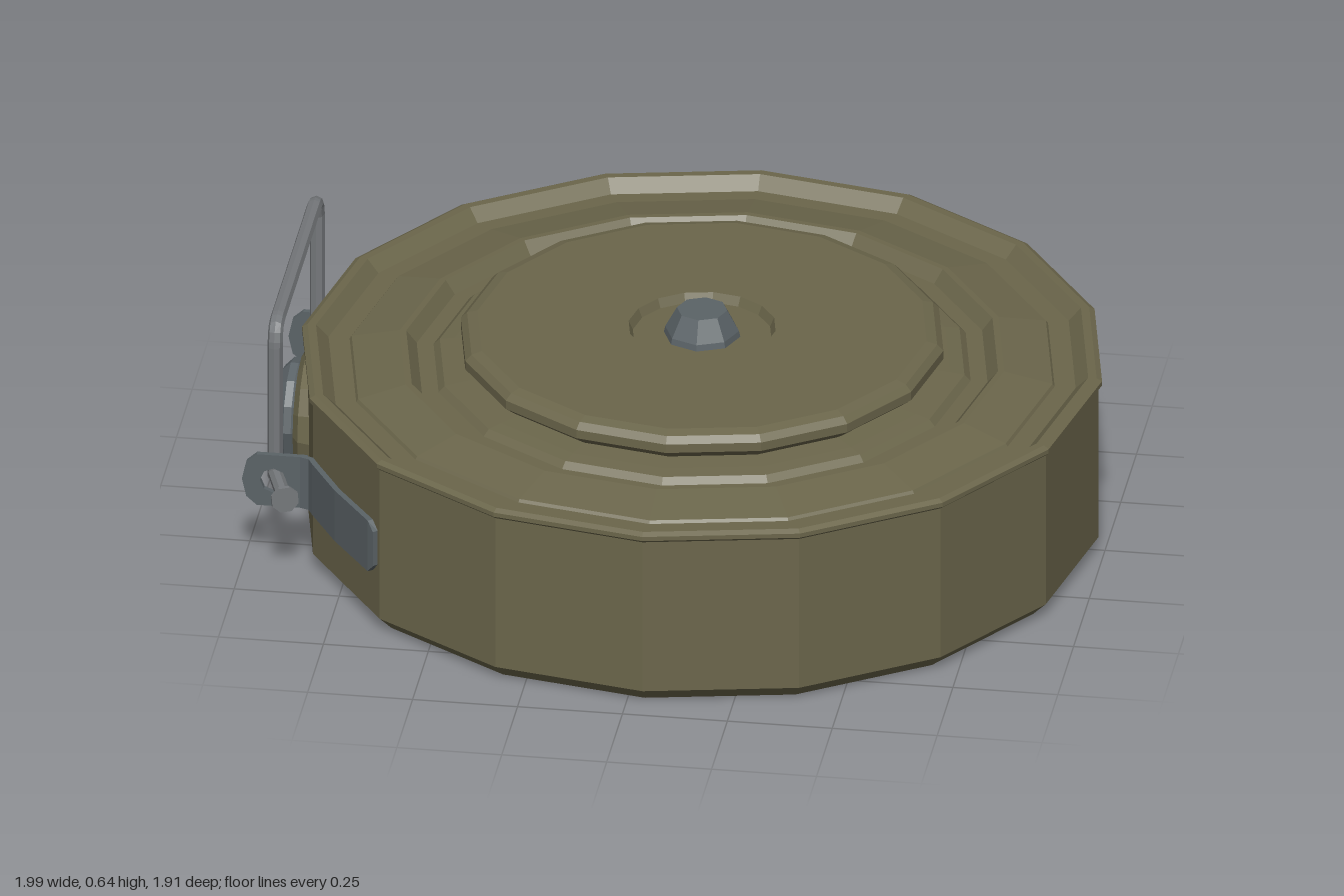
import * as THREE from 'three';

const CX = 0.04; // axis of the round body
const PIN_Y = 0.23; // height of the handle pivots

export function createModel() {
  const olive = new THREE.MeshStandardMaterial({ color: 0x6b664b });
  olive.name = 'olive paint';
  const steel = new THREE.MeshStandardMaterial({ color: 0x5b6367 });
  steel.name = 'dark steel';
  const wire = new THREE.MeshStandardMaterial({ color: 0x76797c });
  wire.name = 'bright steel';

  const model = new THREE.Group();

  // adds a faceted mesh
  const add = (name, geometry, material, x = 0, y = 0, z = 0) => {
    const g = geometry.index ? geometry.toNonIndexed() : geometry;
    g.computeVertexNormals();
    const mesh = new THREE.Mesh(g, material);
    mesh.name = name;
    mesh.position.set(x, y, z);
    model.add(mesh);
    return mesh;
  };
  const lathe = (profile, sides) =>
    new THREE.LatheGeometry(profile.map(([r, y]) => new THREE.Vector2(r, y)), sides);

  // Casing: drum with a rolled rim and stepped lid
  add('casing', lathe([
    [0, 0], [0.91, 0], [0.945, 0.035], [0.945, 0.43], [0.953, 0.437], [0.953, 0.448],
    [0.94, 0.455], [0.92, 0.455], [0.89, 0.425], [0.84, 0.425], [0.835, 0.432],
    [0.72, 0.456], [0.705, 0.456], [0.68, 0.425], [0.64, 0.425], [0.625, 0.44],
    [0.59, 0.445], [0.53, 0.45],
  ], 16), olive, CX);

  // Raised plate with a shallow central recess
  add('pressurePlate', lathe([
    [0.53, 0.445], [0.55, 0.458], [0.575, 0.478], [0.575, 0.5], [0.56, 0.515], [0.535, 0.522],
    [0.175, 0.522], [0.165, 0.5], [0, 0.5],
  ], 16), olive, CX);

  add('centrePlug', lathe([
    [0.092, 0.495], [0.088, 0.515], [0.06, 0.567], [0, 0.567],
  ], 8), steel, CX);

  // Side well and its cap, facing -x
  const boss = add('sideBoss', lathe([
    [0.18, 0], [0.165, 0.05], [0.14, 0.065], [0, 0.065],
  ], 16), olive, -0.85, 0.225);
  boss.rotation.z = Math.PI / 2;
  const cap = add('sideCap', lathe([
    [0.115, 0], [0.125, 0.012], [0.125, 0.03], [0.105, 0.05], [0, 0.05],
  ], 12), steel, -0.91, 0.225);
  cap.rotation.z = Math.PI / 2;

  // Ear: rounded tab with a pivot hole
  const ear = new THREE.Shape();
  ear.moveTo(-0.845, -0.067);
  ear.lineTo(-0.845, 0.067);
  ear.lineTo(-0.965, 0.067);
  ear.lineTo(-0.99, 0.045);
  ear.lineTo(-1, 0);
  ear.lineTo(-0.99, -0.045);
  ear.lineTo(-0.965, -0.067);
  ear.closePath();
  const hole = new THREE.Path();
  hole.absarc(-0.925, 0, 0.032, 0, Math.PI * 2, true);
  ear.holes.push(hole);

  // Strap stations: x, z, half height
  const strapPath = [
    [-0.636, 0.686, 0.045], [-0.65, 0.672, 0.067], [-0.75, 0.53, 0.067],
    [-0.822, 0.405, 0.067], [-0.835, 0.38, 0.067], [-0.86, 0.37, 0.067],
  ];

  for (const side of [1, -1]) {
    const label = side > 0 ? 'front' : 'back';
    const earGeo = new THREE.ExtrudeGeometry(ear, { depth: 0.014, bevelEnabled: false, curveSegments: 4 });
    add(label + 'Ear', earGeo, steel, 0, PIN_Y, side * 0.37 - 0.007);

    // a mirrored path is reversed so its faces still point outwards
    const path = strapPath.map(([x, z, h]) => [x, side * z, h]);
    if (side < 0) path.reverse();
    add(label + 'Strap', stripGeometry(path, 0.014), steel, 0, PIN_Y);

    // Pivot pin running out through the ear, with a flared head
    const a = new THREE.Vector3(-0.927, PIN_Y, side * 0.335);
    const b = new THREE.Vector3(-0.885, PIN_Y, side * 0.465);
    const dir = b.clone().sub(a).normalize();
    const pin = add(label + 'Pin', lathe([
      [0, 0], [0.018, 0], [0.018, 0.115], [0.034, 0.134], [0.034, 0.144], [0, 0.144],
    ], 8), wire, a.x, a.y, a.z);
    pin.quaternion.setFromUnitVectors(new THREE.Vector3(0, 1, 0), dir);
  }

  // Carrying handle: bent wire with clipped corners
  const bends = [
    [PIN_Y - 0.012, 0.335], [0.575, 0.335], [0.608, 0.325], [0.618, 0.295],
    [0.618, -0.295], [0.608, -0.325], [0.575, -0.335], [PIN_Y - 0.012, -0.335],
  ].map(([y, z]) => new THREE.Vector3(-0.927, y, z));
  const handlePath = new THREE.CurvePath();
  for (let i = 1; i < bends.length; i++) handlePath.add(new THREE.LineCurve3(bends[i - 1], bends[i]));
  add('handle', new THREE.TubeGeometry(handlePath, 120, 0.018, 8), wire);

  return model;
}

// Upright strip of rectangular section following a path in plan
function stripGeometry(path, thickness) {
  const rings = path.map(([x, z, h], i) => {
    const p = path[Math.max(i - 1, 0)];
    const q = path[Math.min(i + 1, path.length - 1)];
    const dx = q[0] - p[0], dz = q[1] - p[1], len = Math.hypot(dx, dz);
    const nx = (-dz / len) * thickness / 2, nz = (dx / len) * thickness / 2;
    return [
      [x + nx, h, z + nz], [x + nx, -h, z + nz],
      [x - nx, -h, z - nz], [x - nx, h, z - nz],
    ];
  });
  const out = [];
  const quad = (a, b, c, d) => out.push(...a, ...b, ...c, ...a, ...c, ...d);
  for (let i = 0; i + 1 < rings.length; i++) {
    for (let k = 0; k < 4; k++) {
      const n = (k + 1) % 4;
      quad(rings[i][n], rings[i + 1][n], rings[i + 1][k], rings[i][k]);
    }
  }
  const s = rings[0], e = rings[rings.length - 1];
  quad(s[0], s[3], s[2], s[1]);
  quad(e[0], e[1], e[2], e[3]);
  const g = new THREE.BufferGeometry();
  g.setAttribute('position', new THREE.Float32BufferAttribute(out, 3));
  return g;
}
